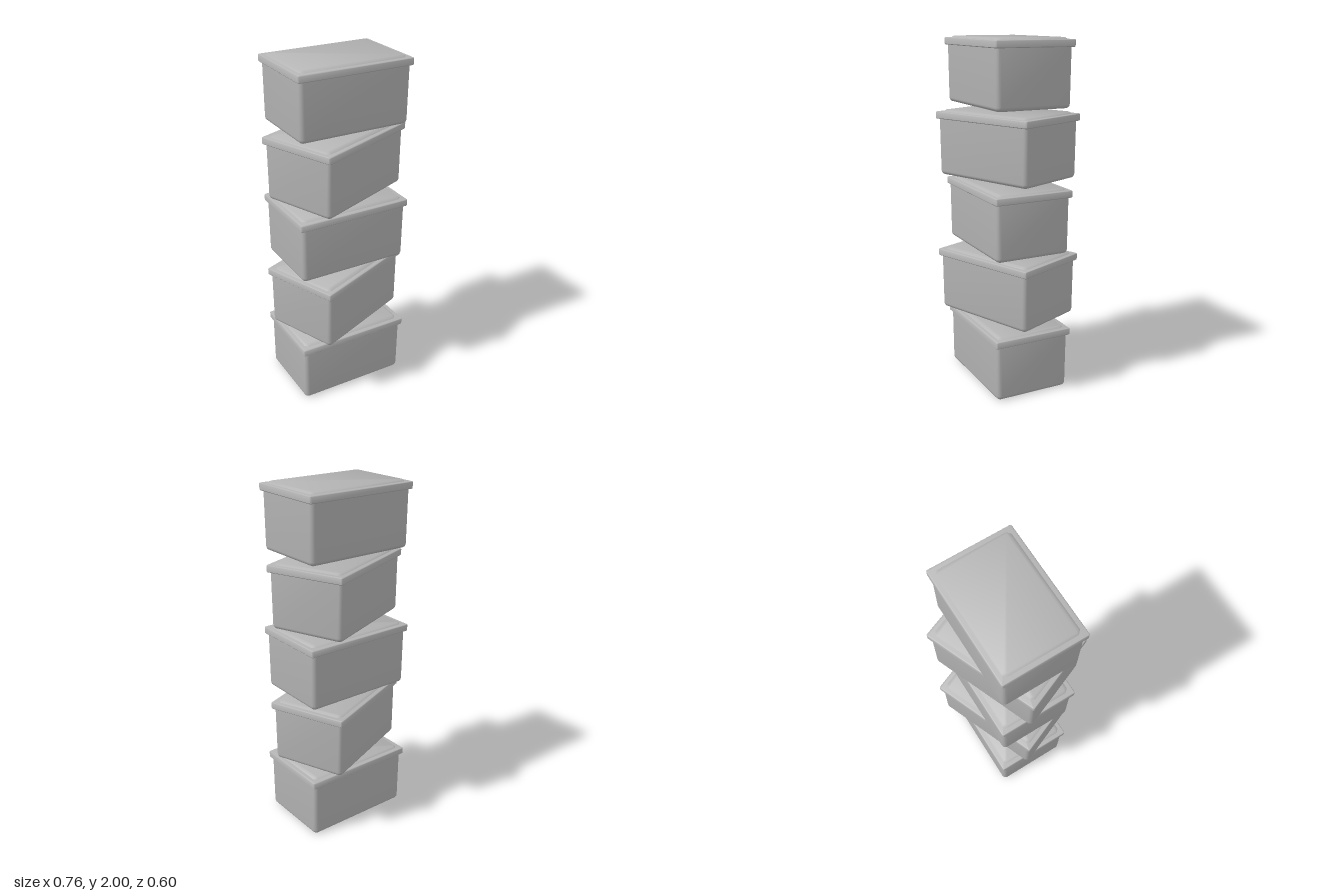
import * as THREE from 'three';
import { toCreasedNormals } from 'three/addons/utils/BufferGeometryUtils.js';

// Loft closed rounded-rectangle rings [halfX, halfZ, radius, y], bottom to top, with both ends capped.
function loft(rings, cornerSteps) {
  const positions = [], indices = [];
  const n = 4 * (cornerSteps + 1);
  for (const [hx, hz, r, y] of rings) {
    for (let c = 0; c < 4; c++) {
      const sx = c === 0 || c === 3 ? 1 : -1;
      const sz = c < 2 ? 1 : -1;
      for (let s = 0; s <= cornerSteps; s++) {
        const a = (c + s / cornerSteps) * Math.PI / 2;
        positions.push(sx * (hx - r) + r * Math.cos(a), y, sz * (hz - r) + r * Math.sin(a));
      }
    }
  }
  for (let k = 0; k < rings.length - 1; k++) {
    for (let i = 0; i < n; i++) {
      const a = k * n + i, b = k * n + (i + 1) % n;
      indices.push(a, a + n, b, b, a + n, b + n);
    }
  }
  const last = (rings.length - 1) * n;
  for (let i = 1; i < n - 1; i++) {
    indices.push(0, i, i + 1);
    indices.push(last, last + i + 1, last + i);
  }
  const g = new THREE.BufferGeometry();
  g.setAttribute('position', new THREE.Float32BufferAttribute(positions, 3));
  g.setIndex(indices);
  return toCreasedNormals(g, 0.7);
}

export function createModel() {
  const group = new THREE.Group();
  group.name = 'boxStack';
  const grey = new THREE.MeshStandardMaterial({ color: 0xb4b4b4 });
  grey.name = 'grey';

  // Body: straight walls with rounded corners and a rounded bottom edge
  const hx = 0.327, hz = 0.224, round = 0.024;
  const bodyRings = [];
  for (let i = 0; i <= 5; i++) {
    const a = i / 5 * Math.PI / 2;
    const inset = round * (1 - Math.sin(a));
    bodyRings.push([hx - inset - 0.002, hz - inset - 0.002, round - inset + 0.002, round * (1 - Math.cos(a))]);
  }
  bodyRings.push([hx, hz, round, 0.33]);
  const bodyGeometry = loft(bodyRings, 5);

  // Lid: overhanging slab with softened edges
  const lidGeometry = loft([
    [0.334, 0.231, 0.006, 0.323],
    [0.338, 0.235, 0.008, 0.327],
    [0.338, 0.235, 0.008, 0.359],
    [0.336, 0.233, 0.007, 0.362],
    [0.333, 0.230, 0.006, 0.363],
  ], 3);

  // Raised lid panel with sloped sides and clipped corners
  const panelGeometry = loft([
    [0.313, 0.210, 0.020, 0.362],
    [0.311, 0.208, 0.020, 0.364],
    [0.299, 0.196, 0.012, 0.373],
  ], 1);

  // Five boxes, turned alternately
  const height = 0.373, step = (2 - height) / 4;
  for (let i = 0; i < 5; i++) {
    const box = new THREE.Group();
    box.name = 'box' + (i + 1);
    const parts = { body: bodyGeometry, lid: lidGeometry, lidPanel: panelGeometry };
    for (const [name, geometry] of Object.entries(parts)) {
      const mesh = new THREE.Mesh(geometry, grey);
      mesh.name = name;
      box.add(mesh);
    }
    box.position.y = i * step;
    box.rotation.y = THREE.MathUtils.degToRad(i % 2 ? 12 : -10);
    group.add(box);
  }
  return group;
}
